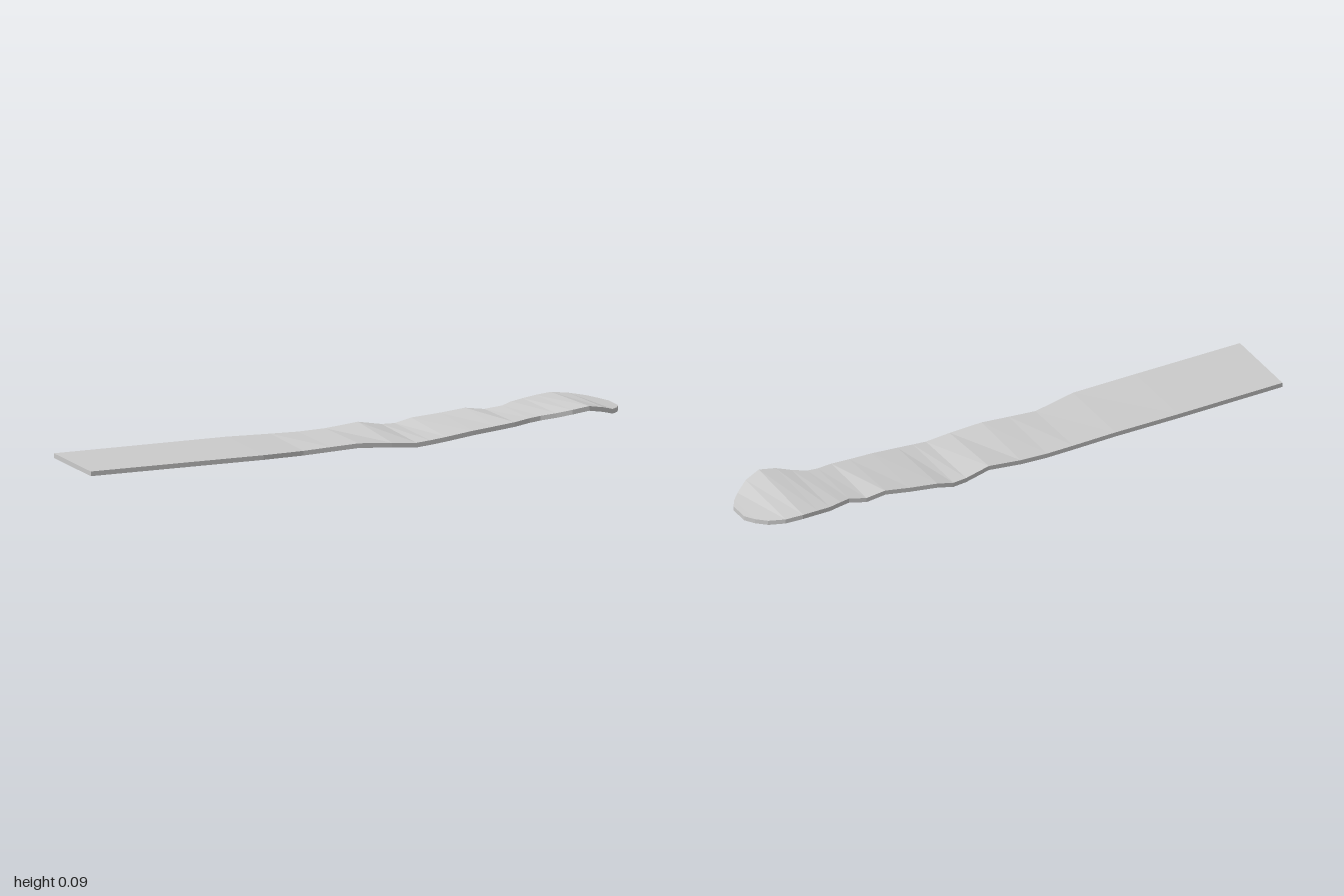
import * as THREE from 'three';

const THICKNESS = 0.016;

// Cross-sections along the strip: x, back z, front z, top y at back, top y at front
const SECTIONS = [
  [-1, -0.145, 0.15, 0.037, 0.032],
  [-0.6, -0.148, 0.15, 0.036, 0.031],
  [-0.36, -0.147, 0.149, 0.036, 0.03],
  [-0.2, -0.146, 0.117, 0.032, 0.024],
  [-0.1, -0.145, 0.122, 0.03, 0.029],
  [0, -0.143, 0.128, 0.033, 0.034],
  [0.12, -0.14, 0.133, 0.045, 0.026],
  [0.21, -0.146, 0.134, 0.028, 0.018],
  [0.26, -0.149, 0.134, 0.026, 0.022],
  [0.32, -0.147, 0.133, 0.04, 0.028],
  [0.42, -0.138, 0.128, 0.049, 0.039],
  [0.51, -0.129, 0.122, 0.06, 0.046],
  [0.58, -0.126, 0.118, 0.05, 0.052],
  [0.64, -0.113, 0.106, 0.059, 0.058],
  [0.68, -0.129, 0.105, 0.066, 0.062],
  [0.73, -0.144, 0.123, 0.07, 0.07],
  [0.78, -0.151, 0.144, 0.075, 0.081],
  [0.84, -0.157, 0.15, 0.079, 0.09],
  [0.9, -0.145, 0.132, 0.073, 0.077],
  [0.95, -0.115, 0.098, 0.066, 0.06],
  [0.98, -0.077, 0.067, 0.061, 0.057],
  [1, -0.04, 0.035, 0.058, 0.056],
];

// Joins four-cornered sections into a closed thin strip
function stripGeometry(sections, thickness) {
  const rings = sections.map(([x, zb, zf, yb, yf]) => [
    [x, yb, zb], [x, yf, zf], [x, yf - thickness, zf], [x, yb - thickness, zb],
  ]);
  const positions = [];
  const quad = (a, b, c, d) => positions.push(...a, ...b, ...c, ...a, ...c, ...d);
  for (let i = 0; i < rings.length - 1; i++) {
    const p = rings[i], q = rings[i + 1];
    for (let k = 0; k < 4; k++) {
      const n = (k + 1) % 4;
      quad(p[k], p[n], q[n], q[k]);
    }
  }
  // End caps
  const first = rings[0], last = rings[rings.length - 1];
  quad(first[3], first[2], first[1], first[0]);
  quad(last[0], last[1], last[2], last[3]);
  const geometry = new THREE.BufferGeometry();
  geometry.setAttribute('position', new THREE.Float32BufferAttribute(positions, 3));
  geometry.computeVertexNormals();
  return geometry;
}

export function createModel() {
  const group = new THREE.Group();
  group.name = 'strip';
  const material = new THREE.MeshStandardMaterial({ color: 0xcccccc, flatShading: true });
  // Flat band that undulates and ends in a rounded head
  const band = new THREE.Mesh(stripGeometry(SECTIONS, THICKNESS), material);
  band.name = 'band';
  band.position.y = -0.002;
  group.add(band);
  return group;
}
